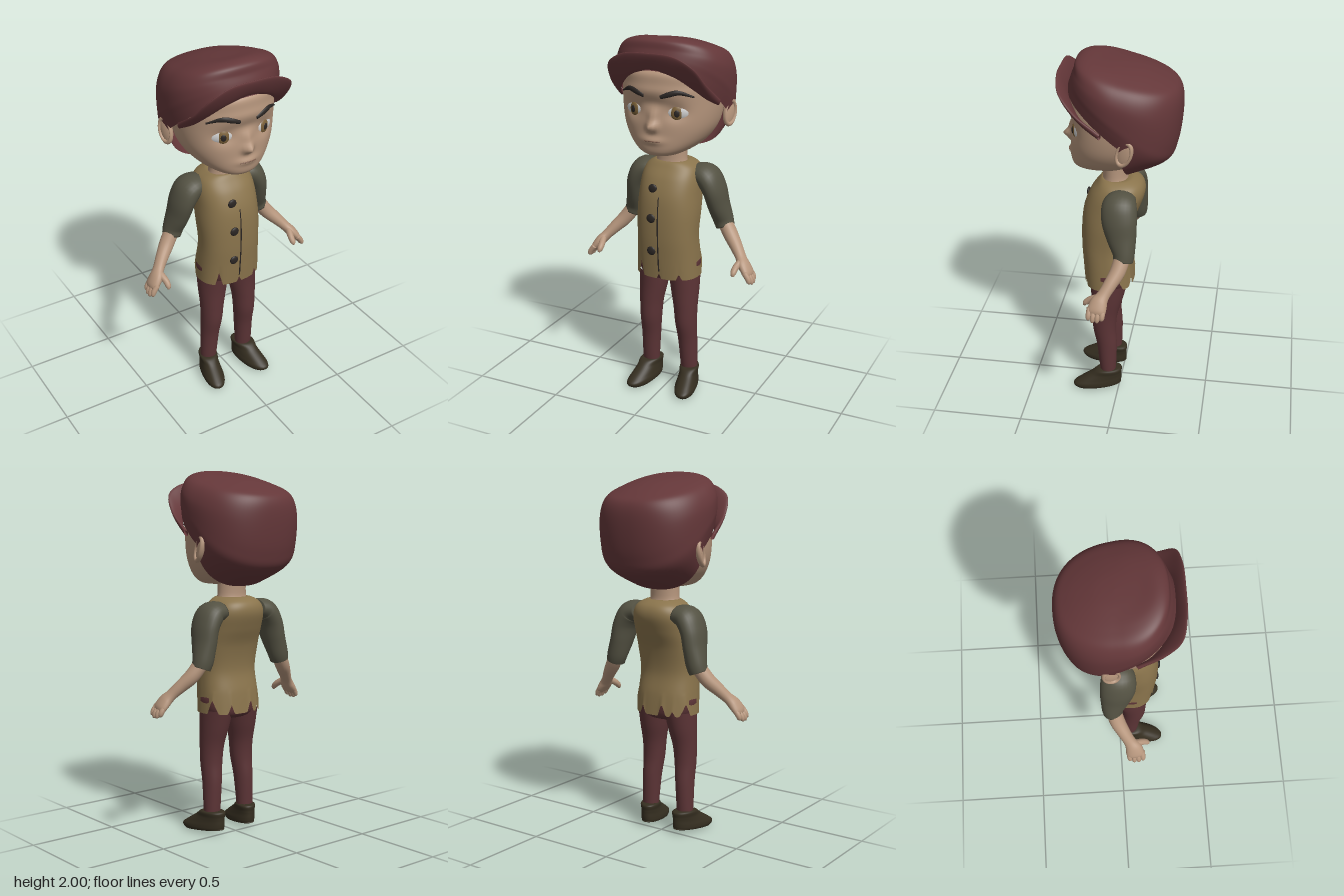
import * as THREE from 'three';

const mat = (color, side = THREE.FrontSide) => new THREE.MeshStandardMaterial({ color, side });
const M = {
  skin: mat(0xb5957c), cap: mat(0x643739, THREE.DoubleSide), vest: mat(0x8a744c, THREE.DoubleSide),
  sleeve: mat(0x535142), trousers: mat(0x5c3436), shoe: mat(0x352e20), dark: mat(0x2a2523),
  white: mat(0xd8d8d8), iris: mat(0x7a6038), lip: mat(0x80604f),
};

// Smooth grid, wrapped around u; fn(u, v) gives a point, u and v in 0..1
function grid(nu, nv, fn) {
  const pos = [], idx = [];
  for (let j = 0; j <= nv; j++) for (let i = 0; i < nu; i++) pos.push(...fn(i / nu, j / nv));
  for (let j = 0; j < nv; j++) for (let i = 0; i < nu; i++) {
    const a = j * nu + i, b = j * nu + (i + 1) % nu;
    idx.push(a, b, b + nu, a, b + nu, a + nu);
  }
  const g = new THREE.BufferGeometry();
  g.setAttribute('position', new THREE.Float32BufferAttribute(pos, 3));
  g.setIndex(idx);
  g.computeVertexNormals();
  return g;
}

// Catmull-Rom sample through rows of numbers
function sample(rows, v) {
  const n = rows.length - 1, f = Math.min(v * n, n - 1e-6), k = Math.floor(f), t = f - k;
  const at = i => rows[Math.max(0, Math.min(n, i))];
  return rows[0].map((_, c) => {
    const [a, b, d, e] = [at(k - 1)[c], at(k)[c], at(k + 1)[c], at(k + 2)[c]];
    return b + 0.5 * t * (d - a + t * (2 * a - 5 * b + 4 * d - e + t * (3 * (b - d) + e - a)));
  });
}

// Stacked rings, bottom to top: [halfWidth, zFront, zCentre, zBack, y, xCentre, slope]
function loft(rings, nu = 40, sub = 6, power = 2, warp = p => p) {
  const rows = rings.map(r => [...r, 0, 0].slice(0, 7));
  const sup = c => Math.sign(c) * Math.pow(Math.abs(c), 2 / power);
  return grid(nu, (rows.length - 1) * sub, (u, v) => {
    const [hw, zf, zc, zb, y, cx, slope] = sample(rows, v);
    const a = u * Math.PI * 2, c = sup(Math.cos(a));
    return warp([cx + Math.max(hw, 0) * sup(Math.sin(a)), y + slope * c, zc + c * (c > 0 ? zf - zc : zc - zb)]);
  });
}

// Tapered limb along points [x, y, z, radius, depthRadius], closed at the ends
function limb(points, s = 1, nu = 20, sub = 6) {
  const rows = points.map(([x, y, z, ra, rb = ra]) => [x * s, y, z, ra, rb]);
  const nv = (rows.length - 1) * sub + 2;
  return grid(nu, nv, (u, w) => {
    const v = THREE.MathUtils.clamp((w * nv - 1) / (nv - 2), 0, 1);
    const [x, y, z, ra, rb] = sample(rows, v);
    const p = sample(rows, Math.max(0, v - 0.01)), q = sample(rows, Math.min(1, v + 0.01));
    const t = new THREE.Vector3(q[0] - p[0], q[1] - p[1], q[2] - p[2]).normalize();
    const side = new THREE.Vector3(0, 0, 1).addScaledVector(t, -t.z).normalize();
    const other = side.clone().cross(t);
    const k = w === 0 || w === 1 ? 0 : 1, a = u * Math.PI * 2;
    return new THREE.Vector3(x, y, z).addScaledVector(other, k * ra * Math.cos(a))
      .addScaledVector(side, k * rb * Math.sin(a)).toArray();
  });
}

const bell = (x, w, y, h) => Math.exp(-((x / w) ** 2) - (y / h) ** 2);
// Relief of nose, bridge, eye sockets and lips
const relief = (x, y) => 0.046 * bell(x, 0.028, y - 1.55, 0.027) + 0.016 * bell(x, 0.022, y - 1.6, 0.04)
  - 0.02 * bell(Math.abs(x) - 0.115, 0.06, y - 1.625, 0.042) - 0.01 * bell(x, 0.1, y - 1.665, 0.03)
  + 0.015 * bell(x, 0.06, y - 1.475, 0.022) + 0.012 * bell(x, 0.2, y - 1.74, 0.04);
const faceZ = (x, y) => 0.262 * Math.pow(1 - Math.pow(Math.abs(x) / 0.26, 2.3), 1 / 2.3) + relief(x, y);

export function createModel() {
  const model = new THREE.Group();
  model.name = 'capBoy';
  const add = (name, geo, material, parent = model) => {
    const m = new THREE.Mesh(geo, material);
    m.name = name;
    parent.add(m);
    return m;
  };
  const blob = (name, material, pos, scale, parent) => {
    const m = add(name, new THREE.SphereGeometry(1, 24, 16), material, parent);
    m.position.set(...pos);
    m.scale.set(...scale);
    return m;
  };

  // Head and neck
  add('head', loft([
    [0, 0.12, 0.12, 0.12, 1.383], [0.07, 0.22, 0.13, 0.02, 1.386], [0.118, 0.25, 0.1, -0.03, 1.4],
    [0.168, 0.262, 0.06, -0.08, 1.43], [0.215, 0.262, 0.03, -0.14, 1.48], [0.248, 0.262, 0.01, -0.2, 1.55],
    [0.262, 0.262, 0, -0.24, 1.65], [0.258, 0.262, 0, -0.25, 1.75], [0.22, 0.24, 0, -0.22, 1.84], [0, 0, 0, 0, 1.88],
  ], 128, 9, 2.3, ([x, y, z]) => [x, y, z > 0.05 ? z + relief(x, y) : z]), M.skin);
  add('neck', loft([
    [0.1, 0.11, 0.03, -0.05, 1.29], [0.085, 0.1, 0.035, -0.035, 1.33], [0.083, 0.1, 0.035, -0.04, 1.43],
  ]), M.skin);
  add('mouth', limb([-0.045, -0.02, 0, 0.02, 0.045].map(x => [x, 1.475 - Math.abs(x) * 0.05, faceZ(x, 1.475), 0.003])), M.lip);

  // Cap crown, slanting down from brow to nape
  add('capCrown', loft([
    [0.285, 0.275, -0.02, -0.06, 1.61, 0, 0.23], [0.302, 0.262, -0.03, -0.25, 1.67, 0, 0.205],
    [0.31, 0.25, -0.02, -0.3, 1.735, 0, 0.175], [0.305, 0.238, -0.02, -0.32, 1.835, 0, 0.105],
    [0.265, 0.225, -0.02, -0.308, 1.91, 0, 0.072], [0.19, 0.175, -0.02, -0.25, 1.943, 0, 0.055],
    [0.09, 0.09, -0.02, -0.13, 1.962, 0, 0.022], [0, -0.02, -0.02, -0.02, 1.967],
  ], 80, 8, 2.3), M.cap);

  // Upturned brim between an inner and an outer edge
  const mirrored = half => new THREE.CatmullRomCurve3(
    [...half.slice(1).reverse().map(([x, y, z]) => [-x, y, z]), ...half].map(p => new THREE.Vector3(...p)));
  const inner = mirrored([[0, 1.84, 0.265], [0.12, 1.81, 0.252], [0.2, 1.745, 0.2], [0.245, 1.69, 0.14], [0.275, 1.65, 0.07]]);
  const outer = mirrored([[0, 1.935, 0.312], [0.14, 1.925, 0.308], [0.235, 1.87, 0.285], [0.272, 1.78, 0.21], [0.29, 1.68, 0.07]]);
  add('capBrim', grid(20, 60, (u, v) => {
    const a = inner.getPoint(v), b = outer.getPoint(v), half = b.clone().sub(a).multiplyScalar(0.5);
    const n = half.clone().cross(inner.getTangent(v)).normalize();
    return a.add(half).addScaledVector(half, Math.cos(u * Math.PI * 2))
      .addScaledVector(n, 0.011 * Math.sin(u * Math.PI * 2)).toArray();
  }), M.cap);

  // Sleeveless vest with a torn hem
  const tears = [[-0.115, 1, 0.018, 0.085], [0.11, 1, 0.016, 0.035], [0, 1, 0.012, 0.03], [0.16, 0, 0.03, 0.08],
    [-0.16, 0, 0.03, 0.07], [0.08, -1, 0.02, 0.05], [-0.05, -1, 0.025, 0.07], [-0.11, -1, 0.015, 0.03]];
  const hem = ([x, y, z]) => {
    const fade = Math.max(0, 1 - (y - 0.685) / 0.13);
    let lift = 0;
    for (const [c, face, w, h] of tears) {
      const d = face ? ((z - 0.065) * face > 0 ? Math.abs(x - c) : 1) : (x * c > 0 && Math.abs(x) > 0.1 ? Math.abs(z + 0.0) : 1);
      lift = Math.max(lift, h * (1 - d / w));
    }
    return [x, y + lift * fade, z];
  };
  add('vest', loft([
    [0.178, 0.2, 0.065, -0.072, 0.685], [0.173, 0.208, 0.07, -0.06, 0.8], [0.168, 0.215, 0.08, -0.04, 0.92],
    [0.172, 0.213, 0.06, -0.06, 1.05], [0.168, 0.2, 0.04, -0.1, 1.15], [0.162, 0.168, 0.02, -0.127, 1.235],
    [0.14, 0.13, 0.02, -0.115, 1.29], [0.095, 0.105, 0.03, -0.07, 1.32], [0.07, 0.085, 0.03, -0.03, 1.318],
  ], 128, 8, 2.4, hem), M.vest);
  add('vestSeam', limb([[0, 1.15, 0.198, 0.004], [0, 1.05, 0.212, 0.004], [0, 0.92, 0.214, 0.004], [0, 0.8, 0.207, 0.004], [0, 0.73, 0.202, 0.004]], 1, 8), M.dark);
  [[1.19, 0.187], [1.03, 0.213], [0.845, 0.21]].forEach(([y, z]) => blob('button', M.dark, [-0.04, y, z], [0.025, 0.025, 0.01]));

  // Hips of the trousers
  add('hips', loft([
    [0, 0.06, 0.06, 0.06, 0.645], [0.1, 0.13, 0.06, -0.02, 0.655], [0.165, 0.182, 0.06, -0.055, 0.7],
    [0.16, 0.192, 0.065, -0.045, 0.8], [0, 0.07, 0.07, 0.07, 0.84],
  ], 48, 6, 2.3), M.trousers);

  for (const s of [1, -1]) {
    const side = s > 0 ? 'left' : 'right';

    // Eye with iris and pupil, lid line and brow
    const eye = new THREE.Group();
    eye.name = side + 'Eye';
    eye.position.set(0.12 * s, 1.625, faceZ(0.12, 1.625) - 0.018);
    eye.rotation.y = 0.38 * s;
    model.add(eye);
    blob('eyeWhite', M.white, [0, 0, 0], [0.068, 0.045, 0.03], eye);
    blob('iris', M.iris, [-0.008 * s, -0.001, 0.02], [0.032, 0.037, 0.013], eye);
    blob('pupil', M.dark, [-0.008 * s, -0.001, 0.03], [0.015, 0.019, 0.006], eye);
    add('lidLine', limb([[-0.066, 0.006, 0.008, 0.003], [-0.04, 0.036, 0.017, 0.005], [0, 0.046, 0.02, 0.006],
      [0.045, 0.035, 0.017, 0.005], [0.07, 0.004, 0.006, 0.003]], s, 10), M.dark, eye);
    add(side + 'Brow', limb([[0.048, 1.708, 0.01], [0.09, 1.724, 0.014], [0.14, 1.733, 0.012], [0.2, 1.708, 0.004]]
      .map(([x, y, r]) => [x, y, faceZ(x, y) + 0.002, r, 0.008]), s, 12), M.dark);

    // Ear: flat shell with a rolled rim
    const ear = new THREE.Group();
    ear.name = side + 'Ear';
    ear.position.set(0.285 * s, 1.585, -0.058);
    ear.rotation.set(-0.35, -0.35 * s, 0);
    model.add(ear);
    blob('earShell', M.skin, [0, 0, 0], [0.016, 0.07, 0.042], ear);
    const rim = add('earRim', new THREE.TorusGeometry(0.05, 0.01, 10, 32), M.skin, ear);
    rim.rotation.y = Math.PI / 2;
    rim.scale.set(0.75, 1.25, 1.3);
    rim.position.x = 0.008 * s;

    // Arm: sleeve, bare forearm, palm, fingers and thumb
    add(side + 'Sleeve', limb([[0.12, 1.25, -0.02, 0.05, 0.075], [0.185, 1.235, -0.015, 0.065, 0.092], [0.225, 1.17, -0.02, 0.06, 0.094],
      [0.245, 1.08, -0.035, 0.057, 0.08], [0.265, 1.0, -0.05, 0.056, 0.06], [0.28, 0.955, -0.048, 0.051, 0.053]], s, 28), M.sleeve);
    add(side + 'Forearm', limb([[0.265, 1.0, -0.05, 0.04, 0.043], [0.32, 0.92, -0.028, 0.04, 0.042], [0.37, 0.865, 0.005, 0.034, 0.036],
      [0.41, 0.82, 0.035, 0.028, 0.034], [0.437, 0.788, 0.055, 0.029, 0.046], [0.463, 0.755, 0.064, 0.024, 0.05], [0.474, 0.738, 0.068, 0.015, 0.044]], s, 24), M.skin);
    for (let k = 0; k < 4; k++) {
      const z = 0.066 + (k - 1.5) * 0.024, len = [0.85, 1, 1, 0.85][k];
      add(side + 'Finger', limb([[0.455, 0.765, z, 0.015], [0.455 + 0.027 * len, 0.765 - 0.035 * len, z + 0.002, 0.015],
        [0.455 + 0.036 * len, 0.765 - 0.058 * len, z + 0.004, 0.012], [0.455 + 0.037 * len, 0.765 - 0.067 * len, z + 0.005, 0.005]], s, 12, 4), M.skin);
    }
    add(side + 'Thumb', limb([[0.42, 0.81, 0.06, 0.02], [0.407, 0.785, 0.105, 0.018], [0.405, 0.762, 0.132, 0.015], [0.408, 0.747, 0.14, 0.006]], s, 12), M.skin);

    // Trouser leg
    add(side + 'Leg', loft([
      [0.045, 0.1, 0.06, 0.02, 0.08], [0.048, 0.11, 0.063, 0.016, 0.15], [0.053, 0.125, 0.07, 0.012, 0.29],
      [0.06, 0.147, 0.08, 0.018, 0.4], [0.066, 0.152, 0.08, 0.008, 0.5], [0.077, 0.156, 0.07, -0.02, 0.6], [0.084, 0.165, 0.06, -0.045, 0.7],
    ].map((r, i) => [...r, s * [0.118, 0.118, 0.113, 0.108, 0.104, 0.096, 0.089][i]])), M.trousers);

    // Soft shoe, toe turned out
    add(side + 'Shoe', loft([
      [0, 0.12, 0.12, 0.12, 0.014], [0.048, 0.22, 0.12, 0, 0.012], [0.06, 0.252, 0.12, -0.01, 0.022], [0.061, 0.258, 0.12, -0.013, 0.042],
      [0.056, 0.228, 0.1, -0.013, 0.066], [0.052, 0.165, 0.07, -0.013, 0.095], [0.051, 0.118, 0.06, -0.01, 0.127], [0, 0.06, 0.06, 0.06, 0.128],
    ].map((r, i) => [...r, s * 0.118, i > 0 && i < 5 ? -0.011 : 0]), 40, 6, 2.2,
    ([x, y, z]) => [x + s * (z - 0.05) * 0.18, y, z]), M.shoe);
  }
  return model;
}
